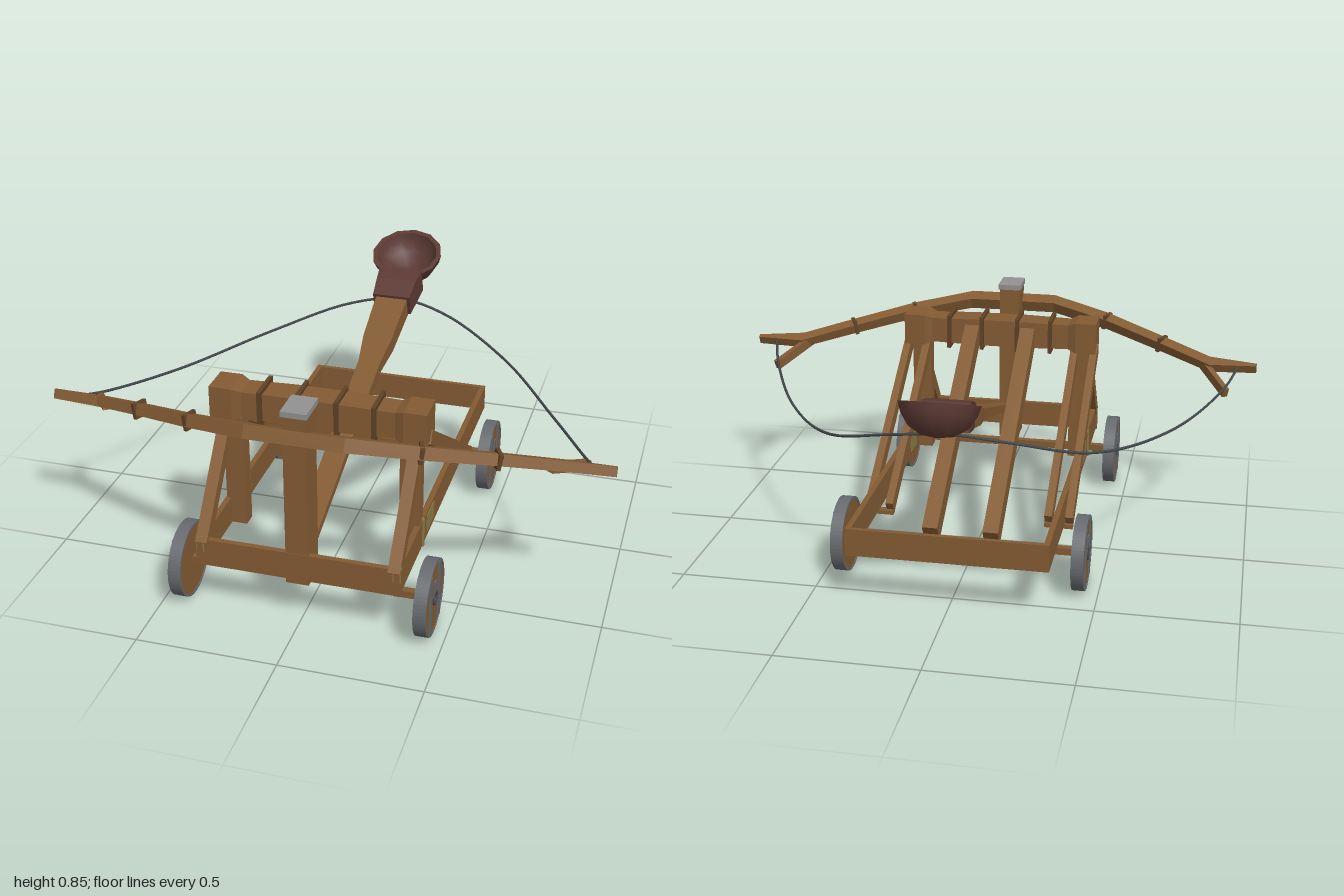
import * as THREE from 'three';
import { toCreasedNormals } from 'three/addons/utils/BufferGeometryUtils.js';

const V = (x, y, z) => new THREE.Vector3(x, y, z);

export function createModel() {
  const model = new THREE.Group();
  model.name = 'catapult';
  const mat = (name, color) => {
    const m = new THREE.MeshStandardMaterial({ color });
    m.name = name;
    return m;
  };
  const wood = mat('timber', 0x835b33);
  const darkWood = mat('dark timber', 0x5f4226);
  const leather = mat('dark red bowl', 0x5c3a34);
  const iron = mat('iron', 0x666a6e);
  const darkIron = mat('dark iron', 0x42484d);
  const steel = mat('pale steel', 0x919191);
  const brass = mat('brass', 0x8c7a45);

  const add = (name, geo, material, pos = V(0, 0, 0), parent = model) => {
    const mesh = new THREE.Mesh(geo, material);
    mesh.name = name;
    mesh.position.copy(pos);
    parent.add(mesh);
    return mesh;
  };
  // box given by its limits
  const block = (name, x0, x1, y0, y1, z0, z1, material = wood) =>
    add(name, new THREE.BoxGeometry(x1 - x0, y1 - y0, z1 - z0), material,
      V((x0 + x1) / 2, (y0 + y1) / 2, (z0 + z1) / 2));
  // box running from a to b
  const beam = (name, a, b, w, h, material = wood) => {
    const mesh = add(name, new THREE.BoxGeometry(w, h, a.distanceTo(b)), material, a.clone().lerp(b, 0.5));
    mesh.lookAt(b);
    return mesh;
  };
  // four-sided solid through sections [centre, half width, half height]
  const loft = (name, sections, material = wood) => {
    const rings = sections.map(([c, w, h]) => [[1, 1], [-1, 1], [-1, -1], [1, -1]].map(
      ([i, j]) => c.clone().addScaledVector(w, i).addScaledVector(h, j)));
    const pts = [];
    const quad = (a, b, c, d) => pts.push(a, b, c, a, c, d);
    for (let s = 0; s < rings.length - 1; s++)
      for (let i = 0; i < 4; i++) {
        const j = (i + 1) % 4;
        quad(rings[s][i], rings[s][j], rings[s + 1][j], rings[s + 1][i]);
      }
    quad(...rings[rings.length - 1]);
    quad(...rings[0].slice().reverse());
    const geo = new THREE.BufferGeometry().setFromPoints(pts);
    geo.computeVertexNormals();
    return add(name, geo, material);
  };

  // ground frame
  block('frontBeam', -0.36, 0.36, 0.19, 0.29, 0.75, 0.77);
  block('backBeam', -0.355, 0.355, 0.19, 0.29, -0.607, -0.59);
  for (const s of [-1, 1]) {
    const x = 0.345 * s;
    block('sideRail', x - 0.01, x + 0.01, 0.19, 0.29, -0.607, 0.775);
    // brass fittings
    block('railPlate', x - 0.013, x + 0.013, 0.215, 0.278, 0.295, 0.395, brass);
    block('railStrap', x - 0.016, x + 0.016, 0.19, 0.3, 0.447, 0.46, brass);
    block('cornerStrap', x - 0.014, x + 0.014, 0.24, 0.3, 0.757, 0.772, brass);

    // uprights and braces
    block('upright', s * 0.315 - 0.036, s * 0.315 + 0.036, 0.19, 0.66, 0.437, 0.49);
    beam('frontBrace', V(s * 0.337, 0.27, 0.765), V(s * 0.337, 0.63, 0.475), 0.042, 0.045);
    for (const bx of [0.295, 0.371])
      beam('rearBrace', V(s * bx, 0.2, -0.21), V(s * bx, 0.64, 0.48), 0.028, 0.05);
    block('braceSpacer', s * 0.333 - 0.052, s * 0.333 + 0.052, 0.175, 0.19, -0.22, -0.19);
    beam('innerStrut', V(s * 0.11, 0.175, -0.35), V(s * 0.11, 0.69, 0.45), 0.056, 0.075);
  }

  // crossbar with wider ends and bands
  const barSections = [[-0.38, 0.06], [-0.3, 0.06], [-0.27, 0.048], [-0.1, 0.052],
    [0.1, 0.052], [0.27, 0.048], [0.3, 0.06], [0.38, 0.06]];
  loft('crossbar', barSections.map(([x, r]) => [V(x, 0.69, 0.478), V(0, r, 0), V(0, 0, r)]));
  for (const x of [-0.2, -0.07, 0.07, 0.2])
    block('crossbarBand', x - 0.007, x + 0.007, 0.625, 0.755, 0.41, 0.545, darkWood);

  // front post with metal cap
  block('frontPost', -0.04, 0.04, 0.17, 0.81, 0.66, 0.768);
  block('postCap', -0.045, 0.045, 0.805, 0.825, 0.65, 0.772, steel);

  // bow, lying in a tilted plane
  const up = V(0, 0.92, -0.4), across = V(0, 0.4, 0.92);
  const bowSection = (x, y, z, h, d) =>
    [V(x, y, z), up.clone().multiplyScalar(h), across.clone().multiplyScalar(d)];
  const half = [[0.17, 0.727, 0.755, 0.024, 0.026], [0.4, 0.69, 0.675, 0.022, 0.025],
    [0.63, 0.642, 0.565, 0.02, 0.024], [0.82, 0.6, 0.475, 0.018, 0.024], [1, 0.598, 0.464, 0.017, 0.008]];
  const mirrored = half.slice().reverse().map(([x, ...r]) => [-x, ...r]);
  loft('bow', [...mirrored, ...half].map(p => bowSection(...p)));
  for (const s of [-1, 1]) {
    beam('bowProng', V(s * 0.79, 0.598, 0.495), V(s * 0.89, 0.535, 0.335), 0.022, 0.036);
    for (const [a, b, t] of [[0, 1, 0.98], [1, 2, 0.98]]) {
      const p = V(s * half[a][0], half[a][1], half[a][2]);
      const q = V(s * half[b][0], half[b][1], half[b][2]);
      const dir = q.clone().sub(p).normalize().multiplyScalar(0.007);
      const c = p.lerp(q, t);
      beam('bowBand', c.clone().sub(dir), c.clone().add(dir), 0.057, 0.056, darkWood);
    }
  }

  // bowstring
  const side = [[0.93, 0.6, 0.465], [0.885, 0.555, 0.335], [0.716, 0.508, -0.016],
    [0.465, 0.54, -0.37], [0.2, 0.62, -0.53]];
  const path = new THREE.CatmullRomCurve3([
    ...side.map(p => V(...p)), V(0, 0.65, -0.567),
    ...side.slice().reverse().map(([x, y, z]) => V(-x, y, z))]);
  add('bowstring', new THREE.TubeGeometry(path, 64, 0.005, 6), darkIron);

  // throwing arm and spoon
  const armSection = (y, z, w, h) => [V(0, y, z), V(-w, 0, 0), V(0, h * 0.95, h * 0.31)];
  loft('throwingArm', [[0.3, 0.67, 0.04, 0.013], [0.45, 0.22, 0.04, 0.016], [0.56, -0.13, 0.042, 0.022],
    [0.6, -0.25, 0.056, 0.032], [0.675, -0.47, 0.062, 0.04]].map(p => armSection(...p)));
  loft('spoonNeck', [[0.677, -0.45, 0.073, 0.042], [0.705, -0.53, 0.078, 0.052],
    [0.725, -0.6, 0.085, 0.05]].map(p => armSection(...p)), leather);
  const bowlProfile = [[0, -0.112], [0.055, -0.105], [0.1, -0.077], [0.128, -0.035], [0.139, 0],
    [0.12, 0], [0.108, -0.03], [0.08, -0.062], [0.04, -0.082], [0, -0.088]];
  const bowlGeo = new THREE.LatheGeometry(bowlProfile.map(p => new THREE.Vector2(...p)), 12);
  add('spoonBowl', toCreasedNormals(bowlGeo, 0.75), leather, V(0, 0.8, -0.68)).rotation.x = 0.38;

  // axles and wheels
  for (const z of [0.674, -0.325]) {
    block('axle', -0.42, 0.42, 0.127, 0.153, z - 0.013, z + 0.013);
    for (const s of [-1, 1]) {
      const wheel = new THREE.Group();
      wheel.name = 'wheel';
      wheel.position.set(s * 0.432, 0.138, z);
      wheel.rotation.y = s * Math.PI / 2; // local +z faces outward
      model.add(wheel);
      const disc = new THREE.CylinderGeometry(0.128, 0.128, 0.04, 32).rotateX(Math.PI / 2);
      add('wheelDisc', disc, wood, V(0, 0, 0), wheel);
      const ring = new THREE.Shape().absarc(0, 0, 0.136, 0, Math.PI * 2);
      ring.holes.push(new THREE.Path().absarc(0, 0, 0.127, 0, Math.PI * 2, true));
      const rim = new THREE.ExtrudeGeometry(ring, { depth: 0.045, bevelEnabled: false, curveSegments: 32 });
      add('wheelRim', rim, iron, V(0, 0, -0.0225), wheel);
      for (const x of [-0.06, 0.06])
        add('wheelStrap', new THREE.BoxGeometry(0.032, 0.226, 0.006), iron, V(x, 0, 0.021), wheel);
      // hub ring with its pin
      add('hubRing', new THREE.TorusGeometry(0.021, 0.006, 6, 16), darkIron, V(0, 0, 0.021), wheel);
      add('hubPin', new THREE.BoxGeometry(0.022, 0.045, 0.006), iron, V(0, 0.045, 0.021), wheel);
    }
  }
  return model;
}
